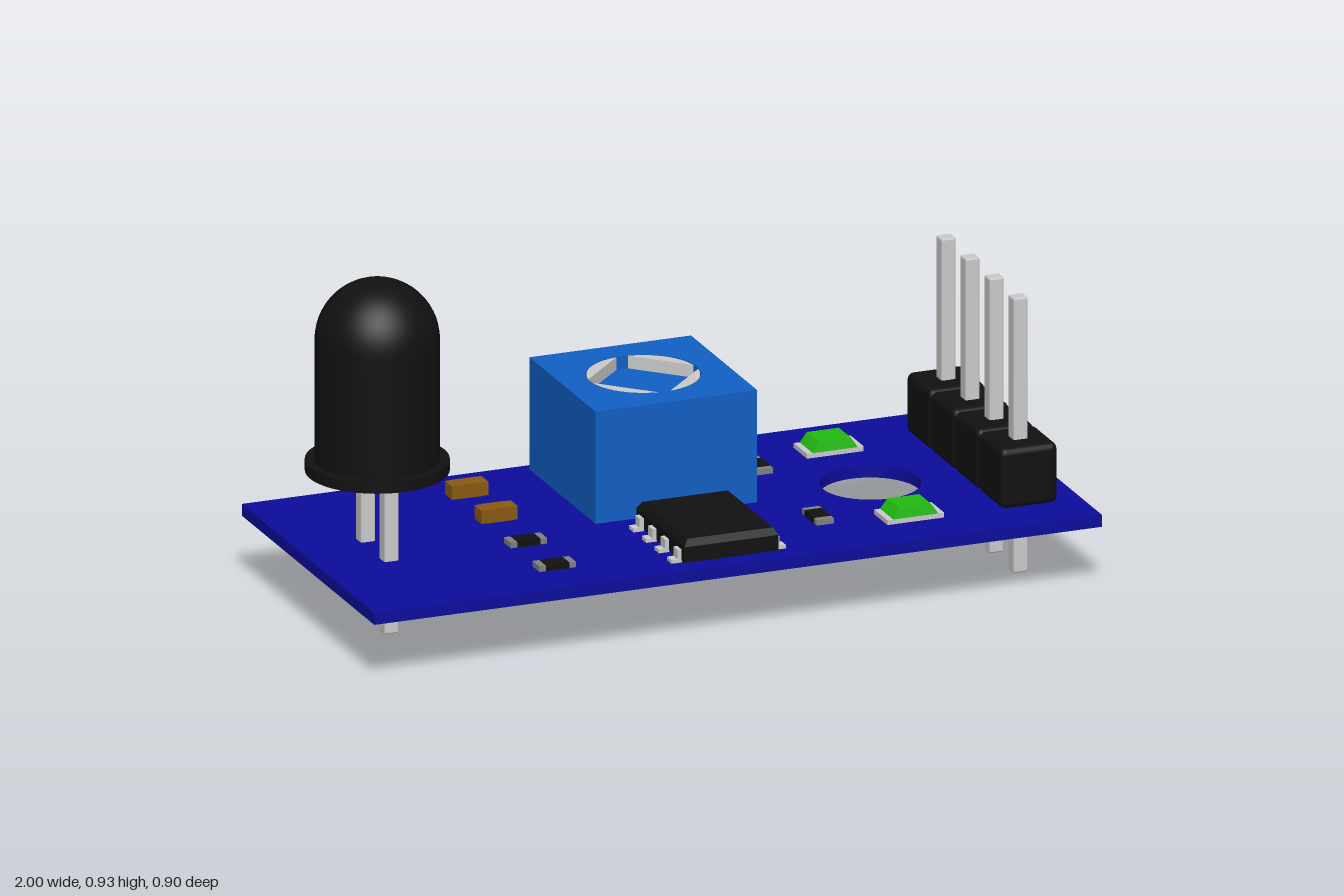
import * as THREE from 'three';
import { toCreasedNormals } from 'three/addons/utils/BufferGeometryUtils.js';
import { RoundedBoxGeometry } from 'three/addons/geometries/RoundedBoxGeometry.js';

const paint = (color) => new THREE.MeshStandardMaterial({ color });
const grey = paint(0xcccccc), solderGrey = paint(0x808080), black = paint(0x111111);
const boardBlue = paint(0x0c0c9c), trimBlue = paint(0x1160c4);
const brown = paint(0x8a5a12), green = paint(0x22bb11);
const BOARD_BOTTOM = 0.165, BOARD_TOP = 0.197;

export function createModel() {
  const root = new THREE.Group();

  function add(name, geometry, material, x = 0, y = 0, z = 0, parent = root) {
    const mesh = new THREE.Mesh(geometry, material);
    mesh.name = name;
    mesh.position.set(x, y, z);
    parent.add(mesh);
    return mesh;
  }
  function group(name, x = 0, y = 0, z = 0) {
    const g = new THREE.Group();
    g.name = name;
    g.position.set(x, y, z);
    root.add(g);
    return g;
  }
  const box = (w, h, d) => new THREE.BoxGeometry(w, h, d);

  // Flat outline in x and z, extruded upward from y = 0
  function slab(shape, height) {
    const g = new THREE.ExtrudeGeometry(shape, { depth: height, bevelEnabled: false, curveSegments: 40 });
    return g.rotateX(-Math.PI / 2);
  }
  function rectangle(w, d) {
    const s = new THREE.Shape();
    s.moveTo(-w / 2, -d / 2).lineTo(w / 2, -d / 2).lineTo(w / 2, d / 2).lineTo(-w / 2, d / 2).closePath();
    return s;
  }
  function cutCircle(shape, x, y, r) {
    shape.holes.push(new THREE.Path().absarc(x, y, r, 0, Math.PI * 2, true));
    return shape;
  }

  // Circuit board with its mounting hole
  add('circuitBoard', slab(cutCircle(rectangle(2, 0.9), 0.545, 0, 0.13), BOARD_TOP - BOARD_BOTTOM),
    boardBlue, 0, BOARD_BOTTOM, 0);

  // Lead through the board with a square solder cone beneath it
  function lead(name, x, z, top) {
    add(name, new RoundedBoxGeometry(0.04, top, 0.04, 1, 0.005), grey, x, top / 2, z);
    const cone = new THREE.CylinderGeometry(0.05 * Math.SQRT2, 0.021 * Math.SQRT2, 0.066, 4).rotateY(Math.PI / 4);
    add('solderCone', toCreasedNormals(cone, 0.3), solderGrey, x, 0.133, z);
  }

  // Pin header
  for (const z of [-0.245, -0.082, 0.082, 0.245]) {
    add('headerBlock', new RoundedBoxGeometry(0.157, 0.163, 0.163, 2, 0.018), black, 0.852, 0.279, z);
    lead('headerPin', 0.852, z, 0.742);
  }

  // Domed receiver bulb on two leads
  const profile = [[0, 0.412], [0.185, 0.412], [0.185, 0.442], [0.16, 0.442]]
    .map(([r, y]) => new THREE.Vector2(r, y));
  for (let i = 0; i <= 14; i++) {
    const a = (i / 14) * Math.PI / 2;
    profile.push(new THREE.Vector2(Math.max(0, 0.16 * Math.cos(a)), 0.765 + 0.16 * Math.sin(a)));
  }
  add('receiverBulb', toCreasedNormals(new THREE.LatheGeometry(profile, 48), 0.6), black, -0.81, 0, 0);
  for (const z of [-0.08, 0.08]) lead('receiverLead', -0.81, z, 0.42);

  // Trimmer: body with grooves in its back face, capped by a plate holding the screw
  const trimmer = group('trimmer', 0, BOARD_TOP, -0.195);
  const outline = new THREE.Shape();
  const back = 0.228, groove = 0.195;
  outline.moveTo(-0.222, -0.225).lineTo(0.222, -0.225).lineTo(0.222, groove);
  for (const [right, left] of [[0.198, 0.14], [0.1, 0.02], [-0.02, -0.1], [-0.14, -0.198]]) {
    outline.lineTo(right, groove).lineTo(right, back).lineTo(left, back).lineTo(left, groove);
  }
  outline.lineTo(-0.222, groove).closePath();
  add('trimmerBody', slab(outline, 0.268), trimBlue, 0, 0, 0, trimmer);
  add('trimmerCap', slab(cutCircle(rectangle(0.444, 0.45), 0, 0, 0.147), 0.035), trimBlue, 0, 0.268, 0, trimmer);
  for (const x of [-0.21, 0.21]) add('trimmerCorner', box(0.024, 0.268, 0.03), trimBlue, x, 0.134, -0.21, trimmer);

  // Four screw quarters leave a cross slot
  const gap = 0.016, radius = 0.145, start = Math.asin(gap / radius);
  const quarter = new THREE.Shape();
  quarter.moveTo(gap, gap);
  quarter.absarc(0, 0, radius, start, Math.PI / 2 - start, false);
  quarter.closePath();
  for (let i = 0; i < 4; i++) {
    add('screwQuarter', slab(quarter, 0.034), grey, 0, 0.268, 0, trimmer).rotation.y = i * Math.PI / 2;
  }
  for (const [x, z] of [[-0.087, -0.257], [0.087, -0.257], [0, -0.13]]) lead('trimmerLead', x, z, 0.22);

  // Box tapering towards the top
  function tapered(w, h, d, topW, topD) {
    const g = box(w, h, d), p = g.attributes.position;
    for (let i = 0; i < p.count; i++) {
      if (p.getY(i) > 0) p.setXYZ(i, Math.sign(p.getX(i)) * topW / 2, h / 2, Math.sign(p.getZ(i)) * topD / 2);
    }
    g.computeVertexNormals();
    return g;
  }

  // Eight-legged chip
  const chip = group('chip', 0, BOARD_TOP, 0.241);
  add('chipBody', box(0.258, 0.042, 0.328), black, 0, 0.026, 0, chip);
  add('chipTop', tapered(0.258, 0.018, 0.328, 0.235, 0.305), black, 0, 0.056, 0, chip);
  for (const side of [-1, 1]) {
    for (let i = 0; i < 4; i++) {
      const z = -0.129 + i * 0.086;
      add('chipLeg', box(0.012, 0.035, 0.03), grey, side * 0.134, 0.0175, z, chip);
      add('chipFoot', box(0.022, 0.01, 0.03), grey, side * 0.146, 0.005, z, chip);
    }
  }

  // Small two-ended parts
  function surfacePart(name, x, z, height, material, endMaterial, turn = 0) {
    const part = group(name, x, BOARD_TOP, z);
    part.rotation.y = turn;
    add(name + 'Body', box(0.064, height, 0.048), material, 0, height / 2, 0, part);
    for (const side of [-1, 1]) {
      add(name + 'End', box(0.018, height - 0.001, 0.047), endMaterial, side * 0.041, height / 2, 0, part);
    }
  }
  for (const z of [-0.3, -0.1]) surfacePart('capacitor', -0.443, z, 0.037, brown, brown);
  for (const z of [0.1, 0.295]) surfacePart('resistor', -0.443, z, 0.016, black, solderGrey);
  for (const z of [-0.208, 0.205]) surfacePart('resistor', 0.318, z, 0.016, black, solderGrey, Math.PI / 2);

  // Green indicator lights
  for (const z of [-0.275, 0.272]) {
    const light = group('indicatorLight', 0.542, BOARD_TOP, z);
    add('lightBase', box(0.156, 0.013, 0.09), grey, 0, 0.0065, 0, light);
    add('lightLens', tapered(0.124, 0.027, 0.09, 0.088, 0.08), green, 0, 0.0265, 0, light);
  }

  return root;
}
